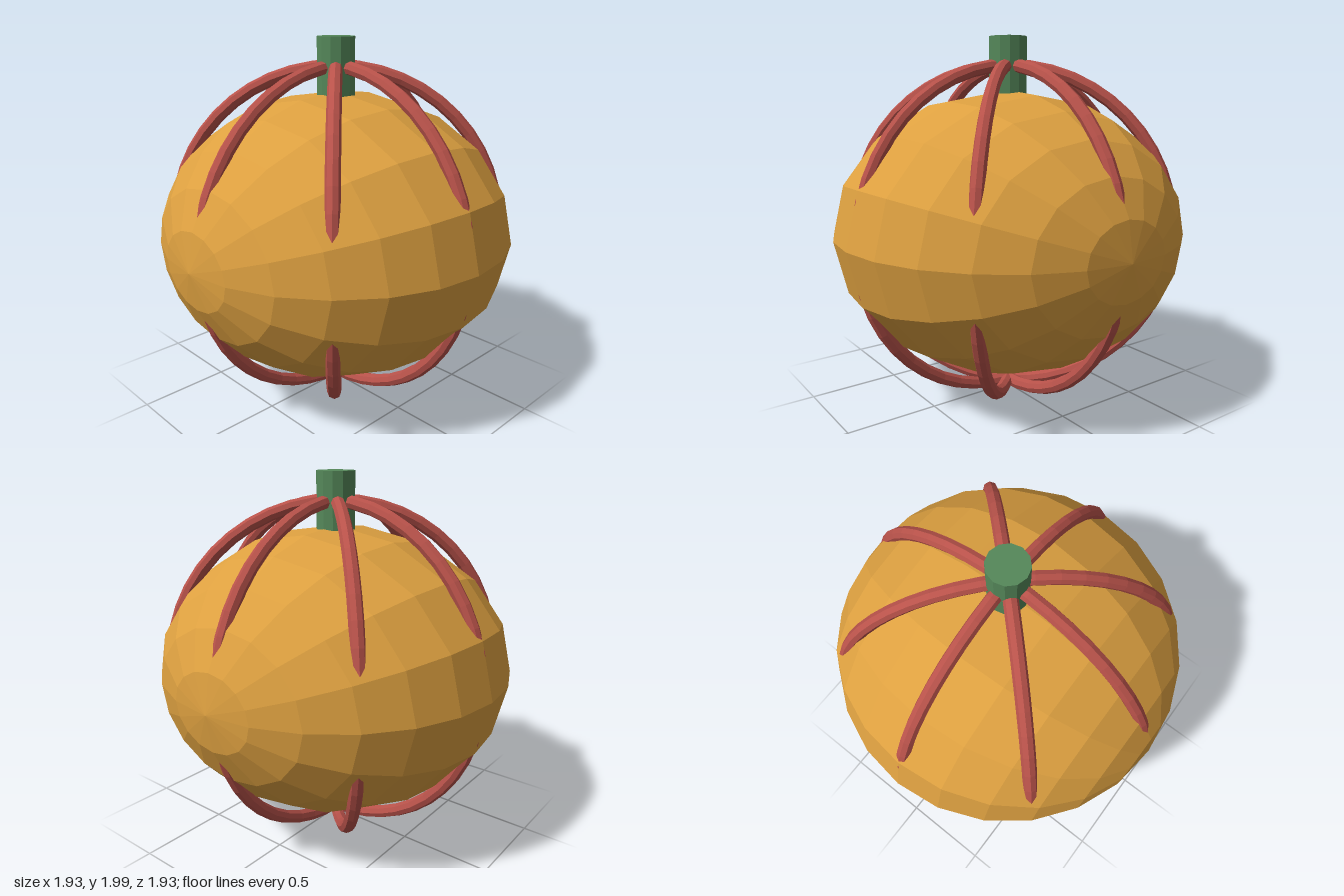
import * as THREE from 'three';

const CENTER_Y = 0.945;

function material(name, color) {
  const m = new THREE.MeshStandardMaterial({ color, flatShading: true });
  m.name = name;
  return m;
}

export function createModel() {
  const group = new THREE.Group();
  group.name = 'gourd';

  const orange = material('orange skin', 0xdda040);
  const red = material('red rib', 0xb8524a);
  const green = material('green stem', 0x55885a);

  const add = (name, geometry, mat, y) => {
    const mesh = new THREE.Mesh(geometry, mat);
    mesh.name = name;
    mesh.position.y = y;
    group.add(mesh);
    return mesh;
  };

  // Squashed low-poly body, its poles facing front and back
  const body = new THREE.SphereGeometry(0.965, 16, 12);
  body.rotateX(Math.PI / 2);
  body.scale(1, 0.8, 1);
  add('body', body, orange, CENTER_Y);

  // Four upright hoops, crossing at the top and bottom
  const hoop = new THREE.TorusGeometry(0.902, 0.036, 8, 48);
  for (let i = 0; i < 4; i++) {
    add('rib' + (i + 1), hoop, red, CENTER_Y).rotation.y = (i * Math.PI) / 4;
  }

  // Stem, sunk into the body
  add('stem', new THREE.CylinderGeometry(0.103, 0.103, 0.32, 12), green, 1.84);

  return group;
}
